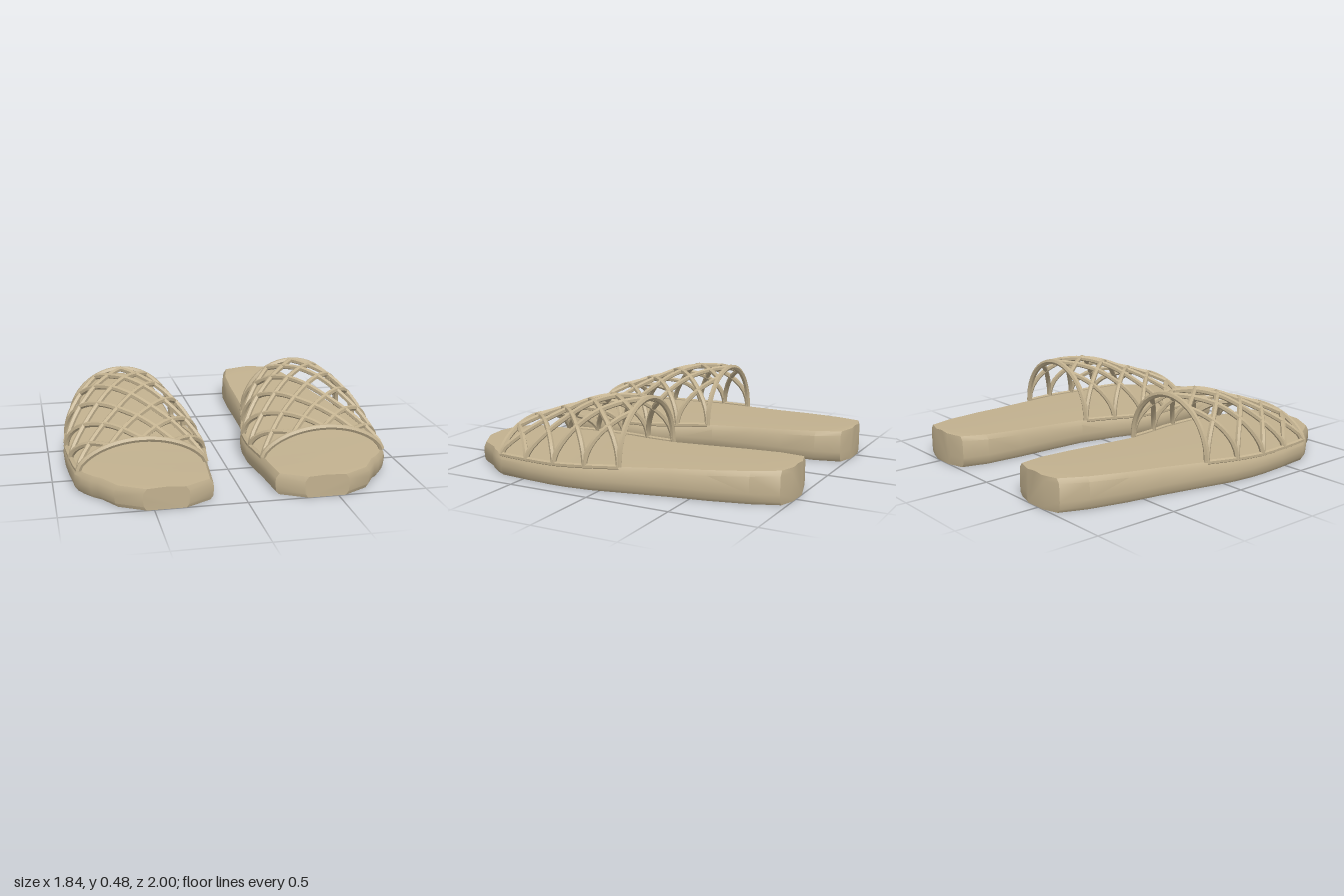
import * as THREE from 'three';
import { toCreasedNormals } from 'three/addons/utils/BufferGeometryUtils.js';

// Sole stations, heel to toe: [z, inner edge x, outer edge x]
const OUTLINE = [
  [-1, 0.39, 0.56], [-0.97, 0.29, 0.65], [-0.82, 0.25, 0.71], [-0.6, 0.235, 0.765],
  [-0.4, 0.23, 0.8], [-0.15, 0.22, 0.855], [0.05, 0.18, 0.9], [0.2, 0.14, 0.916],
  [0.3, 0.125, 0.917], [0.45, 0.12, 0.907], [0.65, 0.145, 0.887], [0.71, 0.15, 0.855],
  [0.77, 0.155, 0.81], [0.8, 0.157, 0.775], [0.92, 0.168, 0.7], [1, 0.31, 0.56],
];
const SOLE_TOP = [[-1, 0.195], [-0.1, 0.15], [0.3, 0.13], [1, 0.125]];
const STRAP_TOP = [[-0.12, 0.463], [0.1, 0.46], [0.2, 0.44], [0.3, 0.405], [0.4, 0.365], [0.5, 0.335], [0.67, 0.275]];
const Z_BACK = -0.115, Z_FRONT = 0.665, CELLS = 4;

// Linear lookup of one column of a table sorted by its first column
function lookup(table, z, col = 1) {
  let i = 1;
  while (i < table.length - 1 && table[i][0] < z) i++;
  const p = table[i - 1], q = table[i];
  const t = THREE.MathUtils.clamp((z - p[0]) / (q[0] - p[0]), 0, 1);
  return p[col] + (q[col] - p[col]) * t;
}

// Rounded sole lofted through the stations
function soleGeometry(side) {
  const pos = [], index = [];
  const tri = (a, b, c) => (side > 0 ? index.push(a, b, c) : index.push(a, c, b));
  let n = 0;
  for (const [z, a, b] of OUTLINE) {
    const t = lookup(SOLE_TOP, z);
    const ring = [
      [a + 0.02, 0], [b - 0.02, 0], [b - 0.005, 0.02], [b, 0.06], [b - 0.003, t - 0.032],
      [b - 0.022, t - 0.006], [(a + b) / 2, t], [a + 0.022, t - 0.006],
      [a + 0.003, t - 0.032], [a, 0.06], [a + 0.005, 0.02],
    ];
    n = ring.length;
    for (const [x, y] of ring) pos.push(side * x, y, z);
  }
  const last = OUTLINE.length - 1;
  for (let k = 0; k < last; k++) {
    for (let i = 0; i < n; i++) {
      const a = k * n + i, b = k * n + (i + 1) % n;
      tri(a, b, b + n);
      tri(a, b + n, a + n);
    }
  }
  for (let i = 1; i < n - 1; i++) {
    tri(0, i + 1, i);
    tri(last * n, last * n + i, last * n + i + 1);
  }
  const g = new THREE.BufferGeometry();
  g.setAttribute('position', new THREE.Float32BufferAttribute(pos, 3));
  g.setIndex(index);
  return toCreasedNormals(g, 0.6);
}

// Point on the arched strap: s from -1 (inner) to 1 (outer), v from 0 (back) to 1 (front)
function strapPoint(side, s, v) {
  const z = Z_BACK + (Z_FRONT - Z_BACK) * v;
  const a = lookup(OUTLINE, z, 1) + 0.015, b = lookup(OUTLINE, z, 2) - 0.015;
  const base = lookup(SOLE_TOP, z) - 0.006;
  const arch = Math.pow(Math.max(0, 1 - s * s), 0.5 + 0.15 * v);
  const y = base + (lookup(STRAP_TOP, z) - base) * arch;
  return new THREE.Vector3(side * ((a + b) / 2 + s * (b - a) / 2), y, z);
}

// Bar along the strap between two (s, v) points, sampled more finely near the sides
function barGeometry(side, [s0, v0], [s1, v1], radius) {
  const pts = [], steps = 12;
  const t0 = Math.asin(s0), t1 = Math.asin(s1);
  for (let i = 0; i <= steps; i++) {
    const f = i / steps;
    const s = s0 === s1 ? s0 : Math.sin(t0 + (t1 - t0) * f);
    const g = s0 === s1 ? f : (s - s0) / (s1 - s0);
    pts.push(strapPoint(side, s, v0 + (v1 - v0) * g));
  }
  const tube = new THREE.TubeGeometry(new THREE.CatmullRomCurve3(pts), 24, radius, 6, false);
  return toCreasedNormals(tube, 0.6);
}

function createSandal(side, material) {
  const sandal = new THREE.Group();
  const add = (name, geometry, parent = sandal) => {
    const mesh = new THREE.Mesh(geometry, material);
    mesh.name = name;
    parent.add(mesh);
  };
  add('sole', soleGeometry(side));

  // Woven strap: rims, side rails and crossing diagonal bars
  const strap = new THREE.Group();
  strap.name = 'strap';
  sandal.add(strap);
  add('backRim', barGeometry(side, [-1, 0], [1, 0], 0.017), strap);
  add('frontRim', barGeometry(side, [-1, 1], [1, 1], 0.017), strap);
  for (const s of [-1, 1]) add('sideRail', barGeometry(side, [s, 0], [s, 1], 0.014), strap);
  for (let i = 1 - CELLS; i < CELLS; i++) {
    const shift = i / CELLS;
    const v0 = Math.max(0, -shift), v1 = Math.min(1, 1 - shift);
    const s0 = 2 * (v0 + shift) - 1, s1 = 2 * (v1 + shift) - 1;
    for (const m of [1, -1]) add('latticeBar', barGeometry(side, [m * s0, v0], [m * s1, v1], 0.016), strap);
  }
  return sandal;
}

export function createModel() {
  const material = new THREE.MeshStandardMaterial({ color: 0xc2b18f });
  material.name = 'tan rubber';
  const model = new THREE.Group();
  model.name = 'sandals';
  for (const side of [1, -1]) {
    const sandal = createSandal(side, material);
    sandal.name = side > 0 ? 'leftSandal' : 'rightSandal';
    model.add(sandal);
  }
  return model;
}
